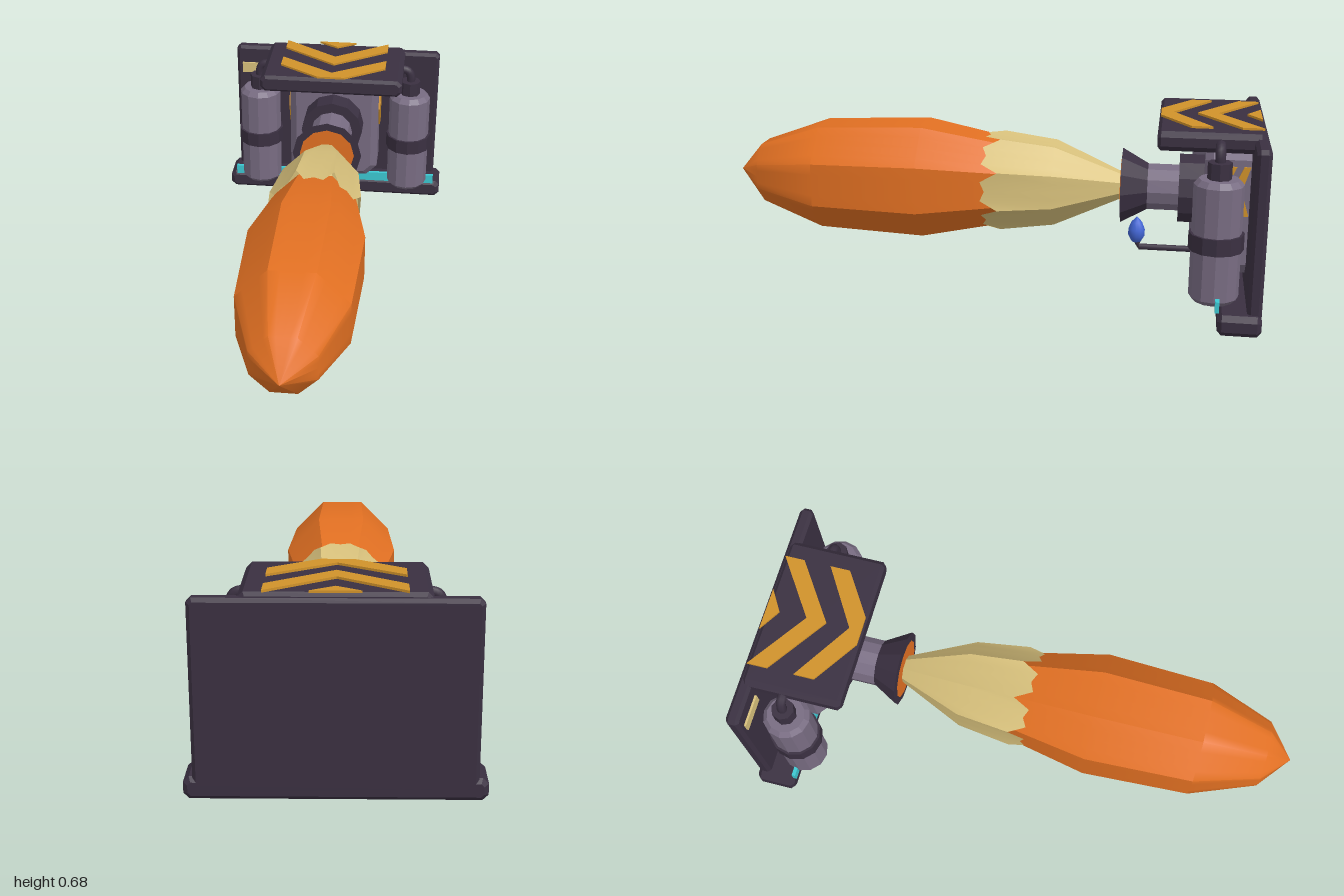
import * as THREE from 'three';
import { toCreasedNormals } from 'three/addons/utils/BufferGeometryUtils.js';

const mat = (name, color, side = THREE.FrontSide) => {
  const m = new THREE.MeshStandardMaterial({ color, side });
  m.name = name;
  return m;
};

const AXIS = 0.39; // height of the nozzle and flame axis

// Box with cut corners and bevelled front and back edges, given by its bounds
function chamferBox(x, y0, y1, z0, z1, b, cut) {
  const w = x - b, h = (y1 - y0) / 2 - b, c = cut;
  const shape = new THREE.Shape([
    [-w + c, -h], [w - c, -h], [w, -h + c], [w, h - c],
    [w - c, h], [-w + c, h], [-w, h - c], [-w, -h + c],
  ].map(([px, py]) => new THREE.Vector2(px, py)));
  const g = new THREE.ExtrudeGeometry(shape, {
    depth: z1 - z0 - 2 * b, bevelEnabled: true, bevelSize: b, bevelThickness: b, bevelSegments: 1,
  });
  return g.translate(0, (y0 + y1) / 2, z0 + b);
}

// Thin plate cut from an outline
function plate(points) {
  const shape = new THREE.Shape(points.map(([x, y]) => new THREE.Vector2(x, y)));
  return new THREE.ExtrudeGeometry(shape, { depth: 0.008, bevelEnabled: false });
}

// Octagonal tube along z from [z, apothem] rings; edge(k) shifts the jagged rim of one ring
function octTube(rings, crease, jagRing = -1, edge = null) {
  const SUB = 4, N = 8 * SUB, pos = [], idx = [];
  const corner = (k, r) => {
    const a = Math.PI / 8 + k * Math.PI / 4;
    return new THREE.Vector2(Math.cos(a), Math.sin(a)).multiplyScalar(r / Math.cos(Math.PI / 8));
  };
  rings.forEach(([z, r], i) => {
    for (let j = 0; j < N; j++) {
      const k = Math.floor(j / SUB);
      const p = corner(k, r).lerp(corner(k + 1, r), (j % SUB) / SUB);
      pos.push(p.x, p.y + AXIS, z + (i === jagRing ? edge[j % SUB] : 0));
    }
  });
  for (let i = 0; i < rings.length - 1; i++) {
    for (let j = 0; j < N; j++) {
      const a = i * N + j, b = i * N + (j + 1) % N;
      idx.push(a, b, b + N, a, b + N, a + N);
    }
  }
  const g = new THREE.BufferGeometry();
  g.setAttribute('position', new THREE.Float32BufferAttribute(pos, 3));
  g.setIndex(idx);
  return toCreasedNormals(g, crease);
}

export function createModel() {
  const group = new THREE.Group();
  const dark = mat('dark metal', 0x3a3041);
  const grey = mat('grey metal', 0x786c82);
  const orange = mat('flame orange', 0xe27022, THREE.DoubleSide);
  const tan = mat('flame pale yellow', 0xd8c17c, THREE.DoubleSide);
  const hazard = mat('hazard yellow', 0xd0922a);
  const cyan = mat('cyan', 0x3cc8d2);
  const blue = mat('pilot blue', 0x4266d6);

  const add = (name, geometry, material) => {
    const m = new THREE.Mesh(geometry, material);
    m.name = name;
    group.add(m);
    return m;
  };
  const faceted = (g) => toCreasedNormals(g, 0.3);
  // Cylinder along z, rFront at z1 and rBack at z0
  const barrel = (rFront, rBack, z0, z1, sides = 12) =>
    faceted(new THREE.CylinderGeometry(rFront, rBack, z1 - z0, sides)
      .rotateX(Math.PI / 2).translate(0, AXIS, (z0 + z1) / 2));

  // Housing
  add('backPlate', chamferBox(0.445, 0.03, 0.655, -1, -0.95, 0.012, 0.008), dark);
  add('baseBar', chamferBox(0.475, 0, 0.075, -1, -0.85, 0.015, 0.01), dark);
  add('topPlate', chamferBox(0.295, 0.6, 0.67, -0.985, -0.62, 0.012, 0.012), dark);
  add('baseStrip', new THREE.BoxGeometry(0.89, 0.04, 0.014).translate(0, 0.095, -0.848), cyan);
  add('labelPlate', new THREE.BoxGeometry(0.12, 0.045, 0.008).translate(-0.36, 0.558, -0.946), tan);
  add('burnerBox', chamferBox(0.192, 0.12, 0.6, -0.98, -0.79, 0.028, 0.03), grey);

  // Hazard chevrons on the top plate, pointing forward, outlines in x and z
  const s = 0.64, X = 0.22, back = -0.985, front = -0.625;
  const chevrons = [
    [[-X, -0.81], [0, -0.67], [X, -0.81], [X, -0.735], [0.055, front], [-0.055, front], [-X, -0.735]],
    [[-X, back], [0, back + X * s + 0.012], [X, back], [X, -0.91], [0, -0.757], [-X, -0.91]],
    [[-0.08, back], [0.08, back], [0, -0.935]],
  ];
  chevrons.forEach((c, i) =>
    add(`topChevron${i + 1}`, plate(c).rotateX(Math.PI / 2).translate(0, 0.678, 0), hazard));

  // Forward chevrons on both sides of the burner box, outlines in z and y
  for (const x of [0.199, -0.191]) {
    for (const shift of [0, -0.06]) {
      const z = (v) => Math.max(v + shift, -0.948);
      const outline = [[z(-0.9), 0.53], [z(-0.865), 0.53], [z(-0.825), 0.44], [z(-0.865), 0.35],
        [z(-0.9), 0.35], [z(-0.86), 0.44]];
      add('sideChevron', plate(outline).rotateY(-Math.PI / 2).translate(x, 0, 0), hazard);
    }
  }

  // Nozzle
  add('nozzleFlange', barrel(0.13, 0.13, -0.8, -0.7), dark);
  add('nozzleBarrel', barrel(0.088, 0.088, -0.7, -0.57), grey);
  add('nozzleCone', barrel(0.143, 0.08, -0.6, -0.49), dark);
  add('nozzleGlow', new THREE.CircleGeometry(0.113, 12).translate(0, AXIS, -0.487), orange);

  // Flame: pale inner part with a notched rim around the orange outer part
  add('flameInner', octTube([[-0.5, 0.042], [-0.24, 0.15], [0.015, 0.175]], 0.65,
    2, [-0.055, 0.008, -0.008, 0.008]), tan);
  add('flameOuter', octTube([[-0.05, 0.152], [0, 0.163], [0.26, 0.212], [0.66, 0.196],
    [0.9, 0.113], [0.995, 0.006], [1, 0.0005]], 0.76), orange);

  // Pilot light
  const pilotPath = new THREE.CurvePath();
  [[[0, 0.15, -0.82], [0, 0.15, -0.56]], [[0, 0.15, -0.56], [0, 0.185, -0.55]]].forEach(([a, b]) =>
    pilotPath.add(new THREE.LineCurve3(new THREE.Vector3(...a), new THREE.Vector3(...b))));
  add('pilotPipe', new THREE.TubeGeometry(pilotPath, 16, 0.012, 8), dark);
  const drop = [[0.001, 0.165], [0.018, 0.172], [0.031, 0.195], [0.031, 0.22], [0.02, 0.248], [0.001, 0.268]];
  add('pilotFlame', new THREE.LatheGeometry(drop.map(([r, y]) => new THREE.Vector2(r, y)), 12)
    .translate(0, 0, -0.55), blue);

  // Fuel tanks with band, valve and feed pipe on each side
  const tankProfile = [[0, 0.08], [0.07, 0.08], [0.087, 0.098], [0.087, 0.503], [0.07, 0.522], [0, 0.522]]
    .map(([r, y]) => new THREE.Vector2(r, y));
  for (const side of [-1, 1]) {
    const x = side * 0.326, z = -0.836;
    const upright = (r, y0, y1, sides) => faceted(
      new THREE.CylinderGeometry(r, r, y1 - y0, sides).translate(x, (y0 + y1) / 2, z));
    add('tank', faceted(new THREE.LatheGeometry(tankProfile, 12).translate(x, 0, z)), grey);
    add('tankBand', upright(0.096, 0.27, 0.33, 12), dark);
    add('tankValve', upright(0.042, 0.515, 0.58, 8), dark);
    const feed = new THREE.CatmullRomCurve3([
      [x, 0.56], [x, 0.6], [x - side * 0.012, 0.625], [x - side * 0.04, 0.633], [x - side * 0.08, 0.633],
    ].map(([px, py]) => new THREE.Vector3(px, py, z)));
    add('feedPipe', new THREE.TubeGeometry(feed, 16, 0.018, 8), dark);
  }
  return group;
}
